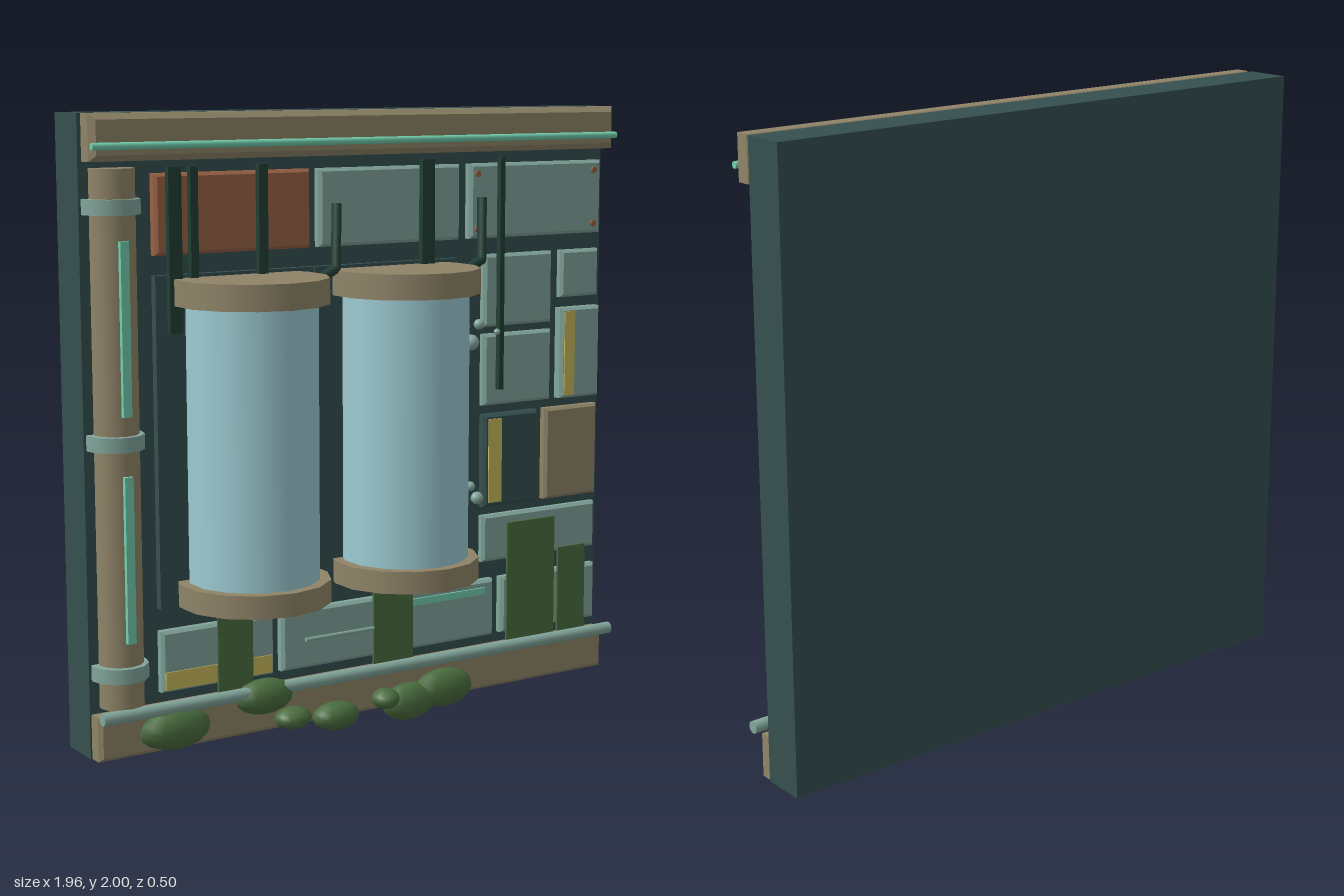
import * as THREE from 'three';

const mat = (name, color, extra = {}) => {
  const m = new THREE.MeshStandardMaterial({ color, ...extra });
  m.name = name;
  return m;
};

export function createModel() {
  const M = {
    wall: mat('dark teal', 0x35504f),
    panel: mat('pale teal', 0x82a69b),
    tan: mat('tan metal', 0x8f8468),
    copper: mat('copper', 0x9a6345),
    glass: mat('tank glass', 0x9ccbd2),
    mint: mat('mint light', 0x72cfae),
    yellow: mat('yellow paint', 0xc9ba5c),
    leaf: mat('leaf green', 0x4a6d3e),
    pipe: mat('dark green pipe', 0x213f34),
  };
  const group = new THREE.Group();
  const add = (name, geo, material, x = 0, y = 0, z = 0) => {
    const mesh = new THREE.Mesh(geo, material);
    mesh.name = name;
    mesh.position.set(x, y, z);
    group.add(mesh);
    return mesh;
  };
  // Box given by its limits
  const box = (name, m, x0, x1, y0, y1, z0, z1) =>
    add(name, new THREE.BoxGeometry(x1 - x0, y1 - y0, z1 - z0), m, (x0 + x1) / 2, (y0 + y1) / 2, (z0 + z1) / 2);
  // Plate with a chamfered front edge
  const plate = (name, m, x0, x1, y0, y1, z0, z1, b = 0.012) => {
    const s = new THREE.Shape([[x0 + b, y0 + b], [x1 - b, y0 + b], [x1 - b, y1 - b], [x0 + b, y1 - b]]
      .map(([x, y]) => new THREE.Vector2(x, y)));
    const geo = new THREE.ExtrudeGeometry(s, {
      depth: z1 - z0 - 2 * b, bevelEnabled: true, bevelThickness: b, bevelSize: b, bevelSegments: 1,
    });
    return add(name, geo, m, 0, 0, z0 + b);
  };
  // Round rod between two points
  const rod = (name, m, a, b, r, sides = 8) => {
    const p = new THREE.Vector3(...a), q = new THREE.Vector3(...b);
    const d = q.clone().sub(p);
    const mesh = add(name, new THREE.CylinderGeometry(r, r, d.length(), sides), m);
    mesh.position.copy(p.add(q).multiplyScalar(0.5));
    mesh.quaternion.setFromUnitVectors(new THREE.Vector3(0, 1, 0), d.normalize());
    return mesh;
  };

  // Wall slab with top and bottom beams
  box('wallSlab', M.wall, -0.98, 0.98, 0.05, 2, -0.25, -0.105);
  plate('topBeam', M.tan, -0.975, 0.975, 1.86, 2, -0.107, -0.026, 0.018);
  rod('topLightStrip', M.mint, [-0.975, 1.905, -0.022], [0.975, 1.905, -0.022], 0.011);
  plate('bottomBeam', M.tan, -0.975, 0.975, 0.05, 0.19, -0.13, -0.05, 0.012);
  rod('bottomPipe', M.panel, [-0.98, 0.195, -0.02], [0.98, 0.195, -0.02], 0.02, 10);

  // Left column with bands and light strips
  rod('column', M.tan, [-0.882, 0.21, -0.085], [-0.882, 1.84, -0.085], 0.07, 12);
  for (const y of [0.322, 1.028, 1.728]) {
    rod('columnBand', M.panel, [-0.887, y - 0.023, -0.085], [-0.887, y + 0.023, -0.085], 0.09, 12);
  }
  for (const [y0, y1] of [[0.42, 0.93], [1.11, 1.63]]) {
    box('columnLight', M.mint, -0.896, -0.868, y0, y1, -0.03, -0.004);
  }

  // Wall panels: colour, x range, y range, front z
  const panels = [
    ['copper', -0.745, -0.2, 1.575, 1.82, -0.075],
    ['panel', -0.168, 0.373, 1.575, 1.82, -0.075],
    ['panel', 0.413, 0.96, 1.575, 1.82, -0.075],
    ['panel', 0.477, 0.76, 1.28, 1.52, -0.08],
    ['panel', 0.798, 0.96, 1.36, 1.52, -0.08],
    ['panel', 0.477, 0.76, 1.015, 1.255, -0.08],
    ['panel', 0.793, 0.96, 1.015, 1.325, -0.068],
    ['wall', 0.477, 0.703, 0.67, 0.985, -0.075],
    ['tan', 0.735, 0.96, 0.67, 0.985, -0.075],
    ['panel', 0.477, 0.96, 0.48, 0.64, -0.08],
    ['panel', -0.745, -0.345, 0.225, 0.42, -0.075],
    ['panel', -0.315, 0.522, 0.225, 0.42, -0.075],
    ['panel', 0.555, 0.96, 0.225, 0.42, -0.075],
  ];
  for (const [c, x0, x1, y0, y1, z] of panels) plate('wallPanel', M[c], x0, x1, y0, y1, -0.125, z, 0.01);

  // Painted stripes, panel light and rivets
  box('yellowStripe', M.yellow, 0.805, 0.848, 1.025, 1.313, -0.069, -0.064);
  box('yellowStripe', M.yellow, 0.493, 0.547, 0.685, 0.97, -0.076, -0.071);
  box('yellowStripe', M.yellow, -0.735, -0.355, 0.233, 0.29, -0.076, -0.071);
  box('panelLight', M.mint, 0.175, 0.48, 0.373, 0.396, -0.08, -0.068);
  rod('panelHandle', M.panel, [-0.24, 0.325, -0.055], [0.02, 0.325, -0.055], 0.007);
  for (const x of [0.44, 0.925]) for (const y of [1.607, 1.787]) {
    rod('rivet', M.copper, [x, y, -0.08], [x, y, -0.068], 0.011);
  }

  // Tanks with back plates, caps and bent hoses
  for (const [x, x0, x1] of [[-0.466, -0.745, -0.187], [0.097, -0.183, 0.37]]) {
    box('tankBackPlate', M.wall, x0, x1, 0.49, 1.515, -0.12, -0.08);
    rod('tankGlass', M.glass, [x, 0.56, 0.01], [x, 1.43, 0.01], 0.205, 14);
    rod('tankBase', M.tan, [x, 0.5, 0.01], [x, 0.572, 0.01], 0.24, 14);
    rod('tankCap', M.tan, [x, 1.425, 0.01], [x, 1.505, 0.01], 0.24, 14);
    const bend = [x + 0.327, 1.51, -0.028];
    rod('hoseLower', M.pipe, [x + 0.2, 1.462, 0.0], bend, 0.016);
    rod('hoseUpper', M.pipe, bend, [x + 0.351, 1.71, -0.06], 0.016);
    const joint = add('hoseJoint', new THREE.SphereGeometry(0.016, 8, 6), M.pipe);
    joint.position.set(...bend);
  }

  // Hanging pipes: x, half width, bottom y
  for (const [x, r, y] of [[-0.687, 0.022, 1.34], [-0.622, 0.013, 1.48], [-0.382, 0.016, 1.48],
    [0.233, 0.024, 1.48], [0.53, 0.009, 1.07]]) {
    box('hangingPipe', M.pipe, x - r, x + r, y, 1.84, -0.075, -0.055);
  }

  // Tall flat leaves
  for (const [x0, x1, y] of [[-0.56, -0.435, 0.475], [0.02, 0.175, 0.442], [0.562, 0.763, 0.612], [0.78, 0.897, 0.5]]) {
    box('flatLeaf', M.leaf, x0, x1, 0.2, y, -0.062, -0.054);
  }

  // Moss mounds: x, y, half width, half height
  for (const [x, y, rx, ry] of [[-0.727, 0.122, 0.123, 0.064], [-0.41, 0.174, 0.104, 0.057],
    [-0.305, 0.085, 0.065, 0.036], [-0.143, 0.065, 0.086, 0.046], [0.05, 0.09, 0.048, 0.034],
    [0.14, 0.066, 0.102, 0.062], [0.28, 0.091, 0.116, 0.064]]) {
    add('mossMound', new THREE.SphereGeometry(1, 12, 8), M.leaf, x, y, -0.03).scale.set(rx, ry, 0.05);
  }

  // Small pale growth clusters: x, y, radius
  for (const [x, y, r] of [[0.405, 1.237, 0.027], [0.436, 1.295, 0.018], [0.385, 1.29, 0.012], [0.51, 1.265, 0.011],
    [0.355, 0.735, 0.033], [0.405, 0.755, 0.017], [0.433, 0.712, 0.022], [0.315, 0.73, 0.016],
    [0.38, 0.7, 0.014], [0.33, 0.765, 0.016]]) {
    add('paleGrowth', new THREE.IcosahedronGeometry(r, 1), M.panel, x, y, -0.055);
  }
  return group;
}
